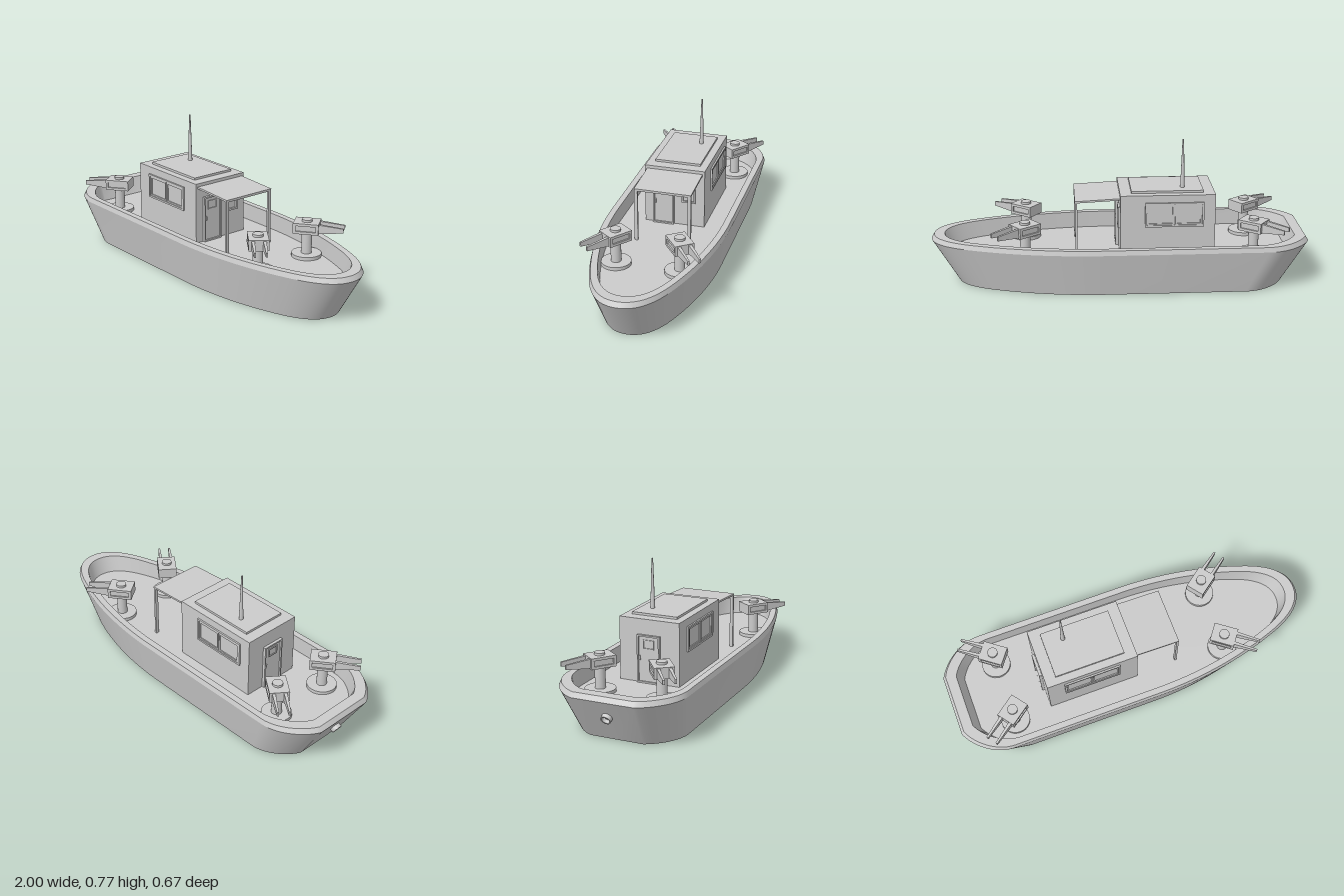
import * as THREE from 'three';
import { toCreasedNormals } from 'three/addons/utils/BufferGeometryUtils.js';

const material = new THREE.MeshStandardMaterial({ color: 0xcccccc });
const DECK = 0.17;

function add(parent, name, geometry, x = 0, y = 0, z = 0) {
  const mesh = new THREE.Mesh(geometry, material);
  mesh.name = name;
  mesh.position.set(x, y, z);
  parent.add(mesh);
  return mesh;
}

const box = (w, h, d) => new THREE.BoxGeometry(w, h, d);

// Flat rectangular frame facing +z, with its back at z = 0
function frameGeometry(w, h, border, depth) {
  const rect = (target, a, b) => target.moveTo(-a, -b).lineTo(a, -b).lineTo(a, b).lineTo(-a, b).closePath();
  const shape = rect(new THREE.Shape(), w / 2, h / 2);
  shape.holes.push(rect(new THREE.Path(), w / 2 - border, h / 2 - border));
  return new THREE.ExtrudeGeometry(shape, { depth, bevelEnabled: false });
}

// Hull plan: flat transom, rounded quarters, straight sides, full rounded bow
function hullOutline() {
  const half = new THREE.Shape();
  half.moveTo(-1, 0);
  half.lineTo(-1, 0.165);
  half.bezierCurveTo(-0.97, 0.24, -0.87, 0.333, -0.76, 0.333);
  half.lineTo(0.08, 0.333);
  half.bezierCurveTo(0.35, 0.333, 0.6, 0.28, 0.8, 0.205);
  half.bezierCurveTo(0.93, 0.155, 1, 0.09, 1, 0);
  const side = half.getPoints(14);
  const mirrored = side.slice(1, -1).reverse().map((p) => new THREE.Vector2(p.x, -p.y));
  return [...side, ...mirrored];
}

// Skin between scaled copies of the outline, each given as [x scale, z scale, y]
function loft(outline, rings) {
  const positions = [], index = [], n = outline.length;
  for (const [sx, sz, y] of rings) for (const p of outline) positions.push(p.x * sx, y, p.y * sz);
  for (let r = 0; r < rings.length - 1; r++) {
    for (let i = 0; i < n; i++) {
      const a = r * n + i, b = r * n + (i + 1) % n;
      if (rings[r][0] > 0) index.push(a, b, b + n);
      if (rings[r + 1][0] > 0) index.push(a, b + n, a + n);
    }
  }
  const geometry = new THREE.BufferGeometry();
  geometry.setAttribute('position', new THREE.Float32BufferAttribute(positions, 3));
  geometry.setIndex(index);
  return toCreasedNormals(geometry, 0.45);
}

function makeHull() {
  const hull = new THREE.Group();
  hull.name = 'hull';
  const outline = hullOutline();
  add(hull, 'hullShell', loft(outline, [
    [0, 0, 0], [0.86, 0.86, 0], [1, 1, 0.235], [0.985, 0.98, 0.26], [0.93, 0.88, 0.26], [0.895, 0.88, DECK],
  ]));
  add(hull, 'deck', loft(outline, [[0.895, 0.88, DECK], [0, 0, DECK]]));

  // Short exhaust pipe on the transom
  const profile = [[0.02, -0.025], [0.027, -0.025], [0.027, 0.022], [0.02, 0.022], [0.02, -0.015], [0, -0.015]];
  const pipe = new THREE.LatheGeometry(profile.map(([r, y]) => new THREE.Vector2(r, y)), 20);
  const exhaust = add(hull, 'exhaustPipe', toCreasedNormals(pipe, 0.5), -0.945, 0.145, 0);
  exhaust.material = material.clone();
  exhaust.material.side = THREE.DoubleSide;
  exhaust.rotation.z = Math.PI / 2 + 0.55;
  return hull;
}

function makeDoor(name, width) {
  const door = new THREE.Group();
  door.name = name;
  const h = 0.42 - DECK;
  add(door, 'doorFrame', frameGeometry(width, h, 0.008, 0.015), 0, DECK + h / 2, 0);
  add(door, 'doorPanel', box(width - 0.016, h - 0.016, 0.006), 0, DECK + h / 2, 0.003);
  add(door, 'doorWindow', frameGeometry(0.06, 0.048, 0.005, 0.005), 0, 0.371, 0.006);
  add(door, 'doorHandle', box(0.007, 0.022, 0.01), -width / 2 + 0.014, 0.3, 0.01);
  return door;
}

function makeCabin() {
  const cabin = new THREE.Group();
  cabin.name = 'cabin';
  add(cabin, 'cabinWalls', box(0.5, 0.5 - DECK, 0.33), -0.25, (0.5 + DECK) / 2, 0);
  add(cabin, 'roofPanel', box(0.38, 0.012, 0.25), -0.25, 0.506, 0);
  add(cabin, 'antenna', new THREE.CylinderGeometry(0.004, 0.012, 0.26, 12), -0.335, 0.642, -0.06);

  // Double windows on both sides, slightly staggered
  for (const s of [1, -1]) {
    const windows = new THREE.Group();
    windows.name = 'sideWindows';
    windows.position.set(-0.269 + s * 0.016, 0.394, s * 0.165);
    if (s < 0) windows.rotation.y = Math.PI;
    add(windows, 'windowFrame', frameGeometry(0.31, 0.132, 0.01, 0.009));
    for (const x of [-0.073, 0.073]) add(windows, 'paneFrame', frameGeometry(0.14, 0.11, 0.008, 0.006), x);
    cabin.add(windows);
  }

  // Doors fore and aft, and the forward window beside the door
  const frontDoor = makeDoor('frontDoor', 0.116);
  frontDoor.position.set(0, 0, 0.06);
  frontDoor.rotation.y = Math.PI / 2;
  const rearDoor = makeDoor('rearDoor', 0.125);
  rearDoor.position.set(-0.5, 0, 0);
  rearDoor.rotation.y = -Math.PI / 2;
  cabin.add(frontDoor, rearDoor);
  const frontWindow = add(cabin, 'frontWindow', frameGeometry(0.076, 0.116, 0.01, 0.01), 0, 0.365, -0.078);
  frontWindow.rotation.y = Math.PI / 2;
  return cabin;
}

function makeCanopy() {
  const canopy = new THREE.Group();
  canopy.name = 'canopy';
  const roof = add(canopy, 'canopyRoof', box(0.238, 0.01, 0.306), 0.118, 0.472, 0);
  roof.rotation.z = -0.05;
  add(canopy, 'canopyBeam', box(0.012, 0.01, 0.306), 0.23, 0.463, 0);
  for (const s of [1, -1]) add(canopy, 'canopyPost', box(0.012, 0.466 - DECK, 0.018), 0.23, (0.466 + DECK) / 2, s * 0.144);
  return canopy;
}

// Barrel along +x, tapering towards the tip
function barrelGeometry() {
  const geometry = box(0.137, 0.05, 0.017);
  const p = geometry.attributes.position;
  for (let i = 0; i < p.count; i++) {
    if (p.getX(i) > 0) p.setXYZ(i, p.getX(i), p.getY(i) * 0.45, p.getZ(i) * 0.6);
  }
  geometry.computeVertexNormals();
  return geometry;
}

// Twin-barrel mount aiming along +x
function makeGun() {
  const gun = new THREE.Group();
  gun.name = 'gunMount';
  add(gun, 'mountBase', new THREE.CylinderGeometry(0.078, 0.078, 0.018, 32), 0, DECK + 0.009, 0);
  add(gun, 'mountColumn', new THREE.CylinderGeometry(0.027, 0.027, 0.372 - DECK, 24), 0, (0.372 + DECK) / 2, 0);
  add(gun, 'gunBody', box(0.132, 0.057, 0.086), 0, 0.331, 0);
  for (const s of [1, -1]) {
    const panel = add(gun, 'bodySideFrame', frameGeometry(0.132, 0.057, 0.014, 0.008), 0, 0.331, s * 0.043);
    if (s < 0) panel.rotation.y = Math.PI;
    add(gun, 'barrel', barrelGeometry(), 0.124, 0.331, s * 0.029);
  }
  return gun;
}

export function createModel() {
  const boat = new THREE.Group();
  boat.name = 'patrolBoat';
  boat.add(makeHull(), makeCabin(), makeCanopy());

  // Four mounts, each aiming outwards from its corner of the deck
  for (const end of [1, -1]) {
    for (const side of [1, -1]) {
      const gun = makeGun();
      gun.position.set(end > 0 ? 0.498 : -0.704, 0, side * 0.168);
      gun.rotation.y = Math.atan2(-side * 0.6, end * 0.8);
      boat.add(gun);
    }
  }
  return boat;
}
